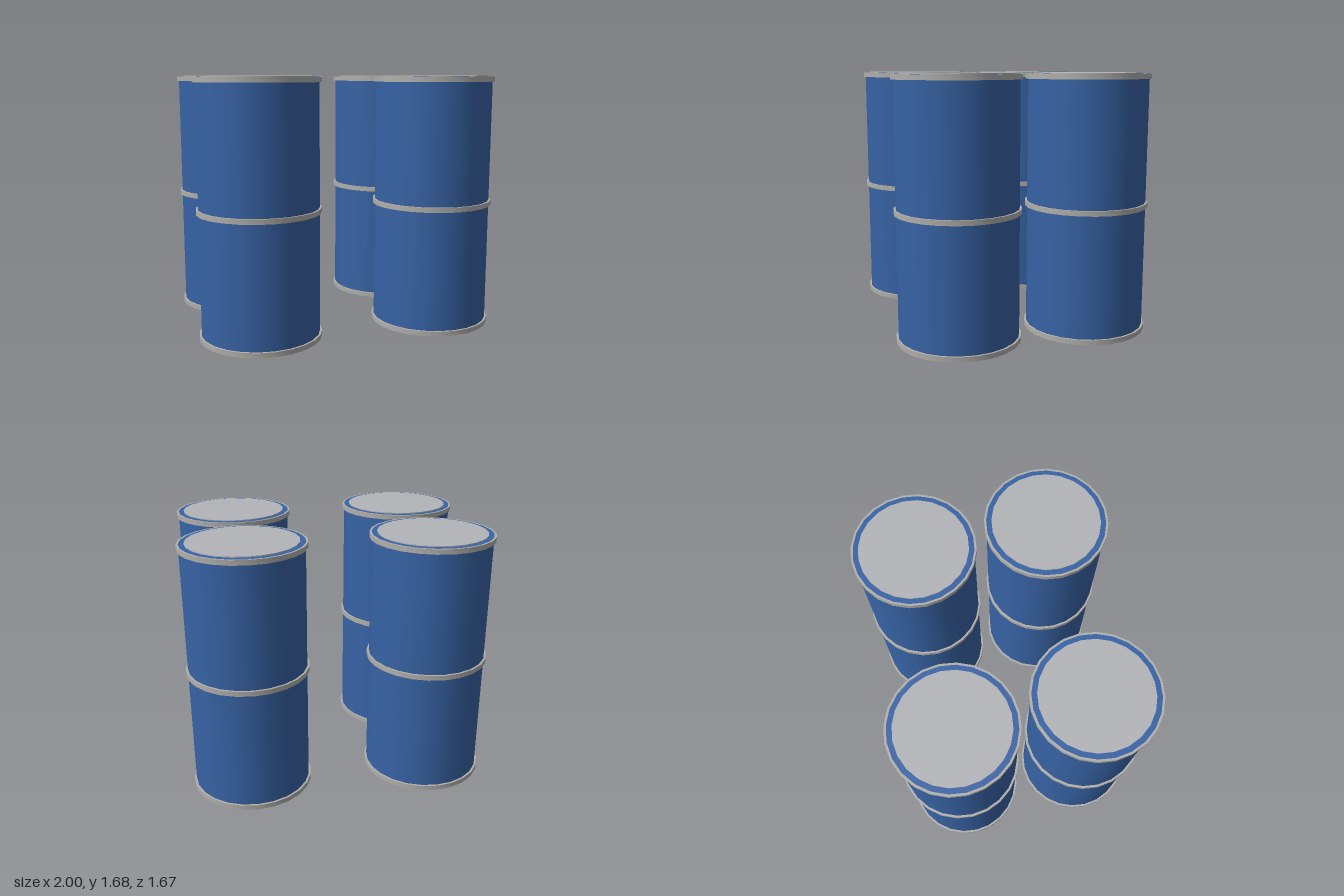
import * as THREE from 'three';
import { toCreasedNormals } from 'three/addons/utils/BufferGeometryUtils.js';

const SIDES = 24;
const BODY_R = 0.386, RING_R = 0.4, LID_R = 0.352;
const HEIGHT = 1.67, RING_H = 0.032;

function material(name, color) {
  const m = new THREE.MeshStandardMaterial({ color });
  m.name = name;
  return m;
}

export function createModel() {
  const blue = material('drumBlue', 0x3763a5);
  const steel = material('hoopGrey', 0xb0afab);
  const lidGrey = material('lidGrey', 0xb2b4b8);

  // Shared geometries
  const bodyGeo = new THREE.CylinderGeometry(BODY_R, BODY_R, HEIGHT, SIDES);
  const lidGeo = new THREE.CylinderGeometry(LID_R, LID_R, 0.006, SIDES);
  const hoopProfile = [
    [BODY_R, -RING_H / 2], [RING_R, -RING_H / 2],
    [RING_R, RING_H / 2], [BODY_R, RING_H / 2],
  ].map(([r, y]) => new THREE.Vector2(r, y));
  const hoopGeo = toCreasedNormals(new THREE.LatheGeometry(hoopProfile, SIDES), 0.6);

  function part(name, geo, mat, y) {
    const mesh = new THREE.Mesh(geo, mat);
    mesh.name = name;
    mesh.position.y = y;
    return mesh;
  }

  // One drum: body, three hoops and a thin raised lid
  function makeDrum() {
    const drum = new THREE.Group();
    drum.name = 'drum';
    drum.add(
      part('body', bodyGeo, blue, HEIGHT / 2),
      part('bottomHoop', hoopGeo, steel, RING_H / 2),
      part('middleHoop', hoopGeo, steel, HEIGHT / 2),
      part('topHoop', hoopGeo, steel, HEIGHT - RING_H / 2),
      part('lid', lidGeo, lidGrey, HEIGHT + 0.003),
    );
    return drum;
  }

  // Two by two arrangement
  const model = new THREE.Group();
  model.name = 'drums';
  for (const x of [-0.6, 0.6]) {
    for (const z of [-0.433, 0.433]) {
      const drum = makeDrum();
      drum.position.set(x, 0, z);
      model.add(drum);
    }
  }
  return model;
}
